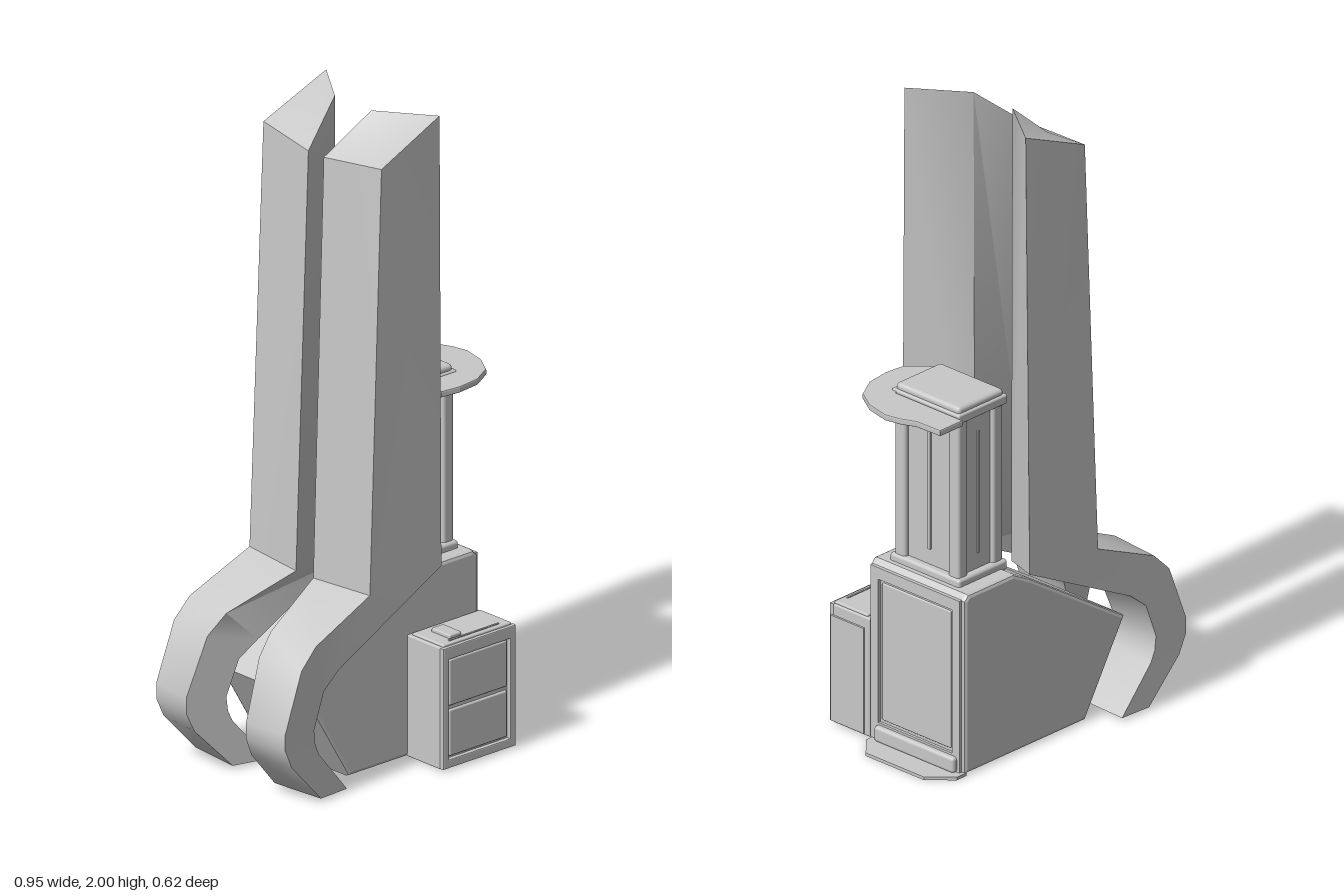
import * as THREE from 'three';
import { toCreasedNormals } from 'three/addons/utils/BufferGeometryUtils.js';
import { RoundedBoxGeometry } from 'three/addons/geometries/RoundedBoxGeometry.js';

const MID_Z = -0.033; // symmetry plane of the towers and the base

export function createModel() {
  const root = new THREE.Group();
  const grey = new THREE.MeshStandardMaterial({ color: 0xc8c8c8 });
  grey.name = 'light grey';

  const add = (name, geometry, parent = root) => {
    const mesh = new THREE.Mesh(geometry, grey);
    mesh.name = name;
    parent.add(mesh);
    return mesh;
  };
  const group = (name) => {
    const g = new THREE.Group();
    g.name = name;
    root.add(g);
    return g;
  };
  // Box given by its extents, with optional rounded edges
  const box = (name, [x0, x1], [y0, y1], [z0, z1], r = 0, parent = root) => {
    const size = [x1 - x0, y1 - y0, z1 - z0];
    const geo = r ? new RoundedBoxGeometry(...size, 2, r) : new THREE.BoxGeometry(...size);
    const mesh = add(name, geo, parent);
    mesh.position.set((x0 + x1) / 2, (y0 + y1) / 2, (z0 + z1) / 2);
    return mesh;
  };
  const polygon = (points) => new THREE.Shape(points.map(([x, y]) => new THREE.Vector2(x, y)));
  const rect = (x0, x1, y0, y1) => [[x0, y0], [x1, y0], [x1, y1], [x0, y1]];
  const extrude = (shape, depth, bevel = 0) => new THREE.ExtrudeGeometry(shape, {
    depth: depth - 2 * bevel, bevelEnabled: bevel > 0, bevelSize: bevel,
    bevelThickness: bevel, bevelOffset: -bevel, bevelSegments: 2,
  }).translate(0, 0, bevel);
  // Flat horizontal slab from an outline in x and z
  const slab = (points, y, height, bevel = 0) =>
    extrude(polygon(points.map(([x, z]) => [x, -z])), height, bevel)
      .rotateX(-Math.PI / 2).translate(0, y, 0);

  // Tall towers that bend into hooked feet, lofted from four-cornered sections
  const footCurve = [ // outer x, y and inner x, y
    [-0.35, 0.49, -0.25, 0.39], [-0.41, 0.43, -0.31, 0.34],
    [-0.477, 0.25, -0.35, 0.23], [-0.477, 0.2, -0.345, 0.185],
    [-0.45, 0.14, -0.33, 0.15], [-0.33, 0.01, -0.215, 0.01],
  ];
  const zIn = (x) => 0.005 + (-0.13 - x) * 0.26;
  const zOut = (x) => 0.225 + (-0.11 - x) * 0.05;
  const sections = [
    [[-0.085, 1.88, 0], [-0.06, 1.9, 0.22], [0.177, 2, 0.21], [0.06, 2, 0.045]],
    [[-0.13, 0.58, 0.004], [-0.11, 0.585, 0.225], [0.173, 0.6, 0.222], [0.06, 0.545, 0.04]],
    ...footCurve.map(([ox, oy, ix, iy]) => [
      [ox, oy, zIn(ox)], [ox + 0.018, oy, zOut(ox)],
      [ix + 0.01, iy, zOut(ix)], [ix, iy, zIn(ix)],
    ]),
  ];
  const towerGeometry = (mirror) => {
    const points = sections.flat();
    const index = [];
    const centre = points.length;
    points.push([0, 1.93, 0.13]);
    for (let k = 0; k < 4; k++) {
      const n = (k + 1) % 4;
      index.push(centre, k, n); // sunken top
      for (let s = 0; s < sections.length - 1; s++) {
        const a = s * 4 + k, b = s * 4 + n;
        index.push(a, a + 4, b + 4, a, b + 4, b);
      }
    }
    const e = (sections.length - 1) * 4;
    index.push(e, e + 2, e + 1, e, e + 3, e + 2); // sole
    if (mirror) index.reverse();
    const flat = points.flatMap(([x, y, z]) => [x, y, mirror ? 2 * MID_Z - z : z]);
    const geo = new THREE.BufferGeometry();
    geo.setAttribute('position', new THREE.Float32BufferAttribute(flat, 3));
    geo.setIndex(index);
    return toCreasedNormals(geo, 0.75);
  };
  add('frontTower', towerGeometry(false));
  add('backTower', towerGeometry(true));

  // Base block with a wedge running under the towers
  const base = group('base');
  add('baseBody', extrude(polygon([
    [-0.295, 0.285], [-0.13, 0.005], [0.377, 0.005], [0.377, 0.56],
    [0.36, 0.577], [0.17, 0.577], [0.1, 0.54],
  ]), 0.38, 0.012).translate(0, 0, -0.223), base);

  // Raised frame around the inset panel on the end of the base
  const frame = polygon(rect(-0.145, 0.21, 0.01, 0.562));
  frame.holes.push(new THREE.Path(rect(-0.115, 0.18, 0.065, 0.525).map((p) => new THREE.Vector2(...p))));
  add('endFrame', extrude(frame, 0.012).rotateY(Math.PI / 2).translate(0.374, 0, 0), base);
  box('endPanel', [0.37, 0.382], [0.075, 0.515], [-0.17, 0.105], 0.004, base);

  // Floor step at the end of the base
  add('floorStep', slab([
    [0.37, -0.223], [0.41, -0.223], [0.475, -0.153], [0.475, 0.08], [0.41, 0.14], [0.37, 0.14],
  ], 0, 0.01), base);
  box('stepLip', [0.37, 0.402], [0.008, 0.058], [-0.2, 0.12], 0.01, base);

  // Column: recessed core, rounded corner posts and slim rails
  const column = group('column');
  box('columnCore', [0.165, 0.322], [0.56, 1.11], [-0.148, 0.085], 0, column);
  for (const x of [0.15, 0.295]) {
    for (const z of [-0.16, 0.055]) {
      box('cornerPost', [x, x + 0.042], [0.56, 1.11], [z, z + 0.043], 0.01, column);
    }
  }
  for (const z of [-0.15, 0.083]) {
    box('sideRail', [0.238, 0.248], [0.65, 1.04], [z - 0.002, z + 0.006], 0, column);
  }
  box('endRail', [0.32, 0.328], [0.65, 1.04], [-0.037, -0.028], 0, column);
  box('columnFoot', [0.14, 0.345], [0.565, 0.6], [-0.17, 0.11], 0.01, column);

  // Rounded shelf wrapping the column and its cap
  add('shelf', slab([
    [0.35, -0.19], [0.445, -0.19], [0.447, -0.1], [0.468, -0.05], [0.478, 0],
    [0.46, 0.08], [0.42, 0.145], [0.35, 0.185], [0.27, 0.195], [0.205, 0.187],
    [0.155, 0.135], [0.13, 0.11], [0.13, 0.08], [0.35, 0.08],
  ], 1.105, 0.02, 0.004));
  box('columnCap', [0.14, 0.345], [1.1, 1.13], [-0.17, 0.102], 0.006);
  box('capLid', [0.148, 0.337], [1.12, 1.148], [-0.162, 0.094], 0.012);

  // Side cabinet with two framed drawers
  const cabinet = group('sideCabinet');
  box('cabinetBody', [0.1, 0.385], [0.005, 0.385], [0.15, 0.298], 0.005, cabinet);
  const face = polygon(rect(0.1, 0.385, 0.008, 0.385));
  face.holes.push(new THREE.Path(rect(0.122, 0.362, 0.035, 0.347).map((p) => new THREE.Vector2(...p))));
  add('cabinetFrame', extrude(face, 0.016, 0.003).translate(0, 0, 0.295), cabinet);
  for (const y of [0.042, 0.199]) {
    box('drawer', [0.129, 0.355], [y, y + 0.144], [0.29, 0.306], 0.005, cabinet);
  }
  box('cabinetSidePanel', [0.38, 0.391], [0.012, 0.35], [0.17, 0.302], 0, cabinet);

  // Cabinet top with a small raised pad and a ridge
  box('cabinetTop', [0.11, 0.378], [0.38, 0.392], [0.165, 0.3], 0.005, cabinet);
  box('raisedPad', [0.157, 0.205], [0.385, 0.403], [0.195, 0.275], 0.005, cabinet);
  box('topRidge', [0.145, 0.34], [0.388, 0.395], [0.281, 0.287], 0, cabinet);

  return root;
}
